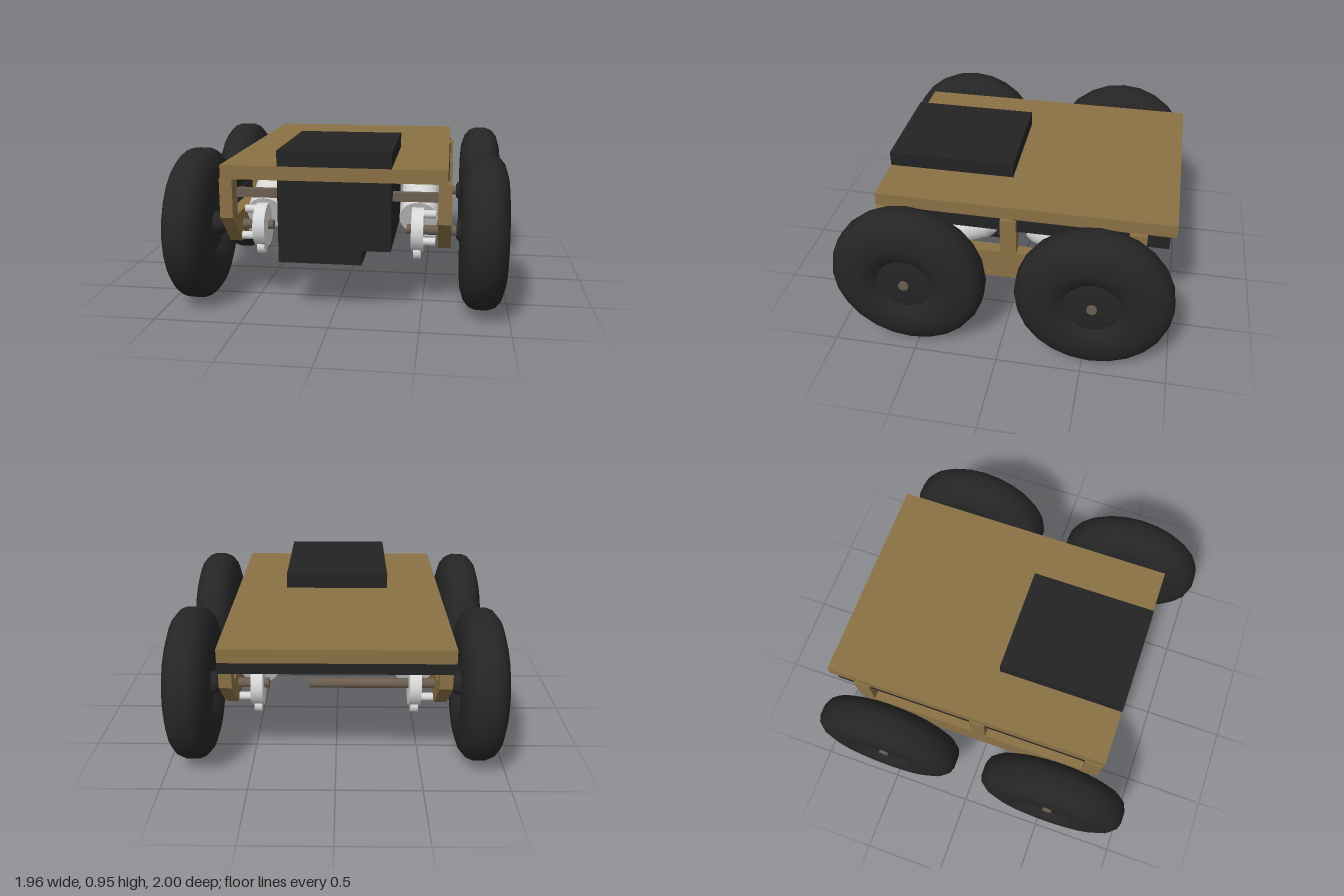
import * as THREE from 'three';
import { toCreasedNormals } from 'three/addons/utils/BufferGeometryUtils.js';

const mat = (name, color) => {
  const m = new THREE.MeshStandardMaterial({ color });
  m.name = name;
  return m;
};
const V2 = (x, y) => new THREE.Vector2(x, y);
const V3 = (x, y, z) => new THREE.Vector3(x, y, z);

export function createModel() {
  const wood = mat('wood', 0x8a7145);
  const black = mat('black casing', 0x232323);
  const rubber = mat('rubber', 0x252525);
  const metal = mat('pale metal', 0xd8d8d8);
  const steel = mat('brown steel', 0x6c5e50);

  const model = new THREE.Group();
  model.name = 'rover';

  const add = (parent, name, geo, material) => {
    const m = new THREE.Mesh(geo, material);
    m.name = name;
    parent.add(m);
    return m;
  };
  // Box from its limits on each axis
  const box = (name, material, x0, x1, y0, y1, z0, z1) => {
    const m = add(model, name, new THREE.BoxGeometry(x1 - x0, y1 - y0, z1 - z0), material);
    m.position.set((x0 + x1) / 2, (y0 + y1) / 2, (z0 + z1) / 2);
    return m;
  };
  // Cylinder between two points
  const rod = (parent, name, material, a, b, r, sides = 12) => {
    const d = b.clone().sub(a);
    const geo = new THREE.CylinderGeometry(r, r, d.length(), sides);
    const m = add(parent, name, geo, material);
    m.position.copy(a).add(b).multiplyScalar(0.5);
    m.quaternion.setFromUnitVectors(V3(0, 1, 0), d.normalize());
    return m;
  };

  // Deck and the control case that passes through it
  box('deck', wood, -0.65, 0.635, 0.78, 0.86, -0.97, 0.785);
  box('caseTop', black, -0.32, 0.325, 0.86, 0.95, 0.02, 0.785);
  box('caseBody', black, -0.32, 0.325, 0.385, 0.78, 0.02, 0.785);
  box('caseFoot', black, -0.32, 0.16, 0.3, 0.385, 0.02, 0.785);

  // Black frame under the deck
  box('rearBeam', black, -0.64, 0.64, 0.7, 0.78, -0.935, -0.84);
  for (const s of [-1, 1]) {
    const a = s * 0.59, b = s * 0.64;
    box('sideBeam', black, Math.min(a, b), Math.max(a, b), 0.7, 0.78, -0.84, 0.69);
    box('crossBar', steel, -0.585, 0.585, 0.655, 0.705, s * 0.66 - 0.025, s * 0.66 + 0.025);
  }

  // Side rails: low bar with three posts and chamfered ends
  const railShape = new THREE.Shape([
    V2(-0.6, 0.36), V2(0.58, 0.36), V2(0.775, 0.55), V2(0.775, 0.78), V2(0.67, 0.78),
    V2(0.67, 0.55), V2(0.035, 0.55), V2(0.035, 0.78), V2(-0.06, 0.78), V2(-0.06, 0.55),
    V2(-0.71, 0.55), V2(-0.71, 0.78), V2(-0.81, 0.78), V2(-0.81, 0.55),
  ]);
  for (const s of [-1, 1]) {
    const geo = new THREE.ExtrudeGeometry(railShape, { depth: 0.075, bevelEnabled: false });
    geo.translate(0, 0, -0.0375);
    geo.rotateY(-Math.PI / 2);
    add(model, 'sideRail', geo, wood).position.x = s * 0.622;
  }

  // Tyre profile from the inner hub round the tread to the outer hub
  const tyre = toCreasedNormals(new THREE.LatheGeometry([
    V2(0, -0.155), V2(0.045, -0.155), V2(0.065, -0.135), V2(0.07, -0.085), V2(0.16, -0.085),
    V2(0.205, -0.122), V2(0.26, -0.135), V2(0.33, -0.13), V2(0.4, -0.108), V2(0.44, -0.075),
    V2(0.456, -0.035), V2(0.456, 0.035), V2(0.44, 0.075), V2(0.4, 0.108), V2(0.33, 0.13),
    V2(0.26, 0.135), V2(0.205, 0.122), V2(0.165, 0.09), V2(0.1, 0.1), V2(0, 0.1),
  ], 24), 0.6);

  // Motor can with a rounded far end
  const can = toCreasedNormals(new THREE.LatheGeometry([
    V2(0, 0), V2(0.115, 0), V2(0.115, 0.34), V2(0.1, 0.375), V2(0.06, 0.39), V2(0, 0.39),
  ], 20), 0.7);

  const axleY = 0.457, axleZ = 0.545;
  for (const sx of [-1, 1]) for (const sz of [-1, 1]) {
    const end = (sz > 0 ? 'front' : 'rear') + (sx > 0 ? 'Left' : 'Right');

    // Wheel and axle
    const wheel = add(model, end + 'Wheel', tyre, rubber);
    wheel.position.set(sx * 0.845, axleY, sz * axleZ);
    wheel.rotation.z = -sx * Math.PI / 2;
    rod(model, end + 'Axle', steel, V3(sx * 0.4, axleY, sz * axleZ), V3(sx * 0.96, axleY, sz * axleZ), 0.03);

    // Drive motor, rising from the gearbox toward the middle
    const drive = new THREE.Group();
    drive.name = end + 'Drive';
    drive.position.set(sx * 0.465, axleY, sz * axleZ);
    model.add(drive);
    const motor = add(drive, 'motorCan', can, metal);
    motor.position.set(0, 0.05, -sz * 0.07);
    motor.quaternion.setFromUnitVectors(V3(0, 1, 0), V3(0, 0.4, -sz * 0.92).normalize());
    rod(drive, 'gearbox', metal, V3(-0.035, 0, 0), V3(0.035, 0, 0), 0.13, 24);
    rod(drive, 'gearboxEar', metal, V3(-0.022, -0.125, sz * 0.04), V3(0.022, -0.125, sz * 0.04), 0.042, 14);
    for (let i = 0; i < 3; i++) {
      const a = Math.PI / 2 + i * Math.PI * 2 / 3;
      const y = Math.sin(a) * 0.095, z = sz * Math.cos(a) * 0.095;
      rod(drive, 'mountBolt', metal, V3(sx * 0.03, y, z), V3(sx * 0.105, y, z), 0.024, 10);
    }
  }

  // Long inner shaft on the rear right drive
  rod(model, 'innerShaft', steel, V3(-0.42, axleY, -axleZ), V3(0.16, axleY, -axleZ), 0.03);

  return model;
}
